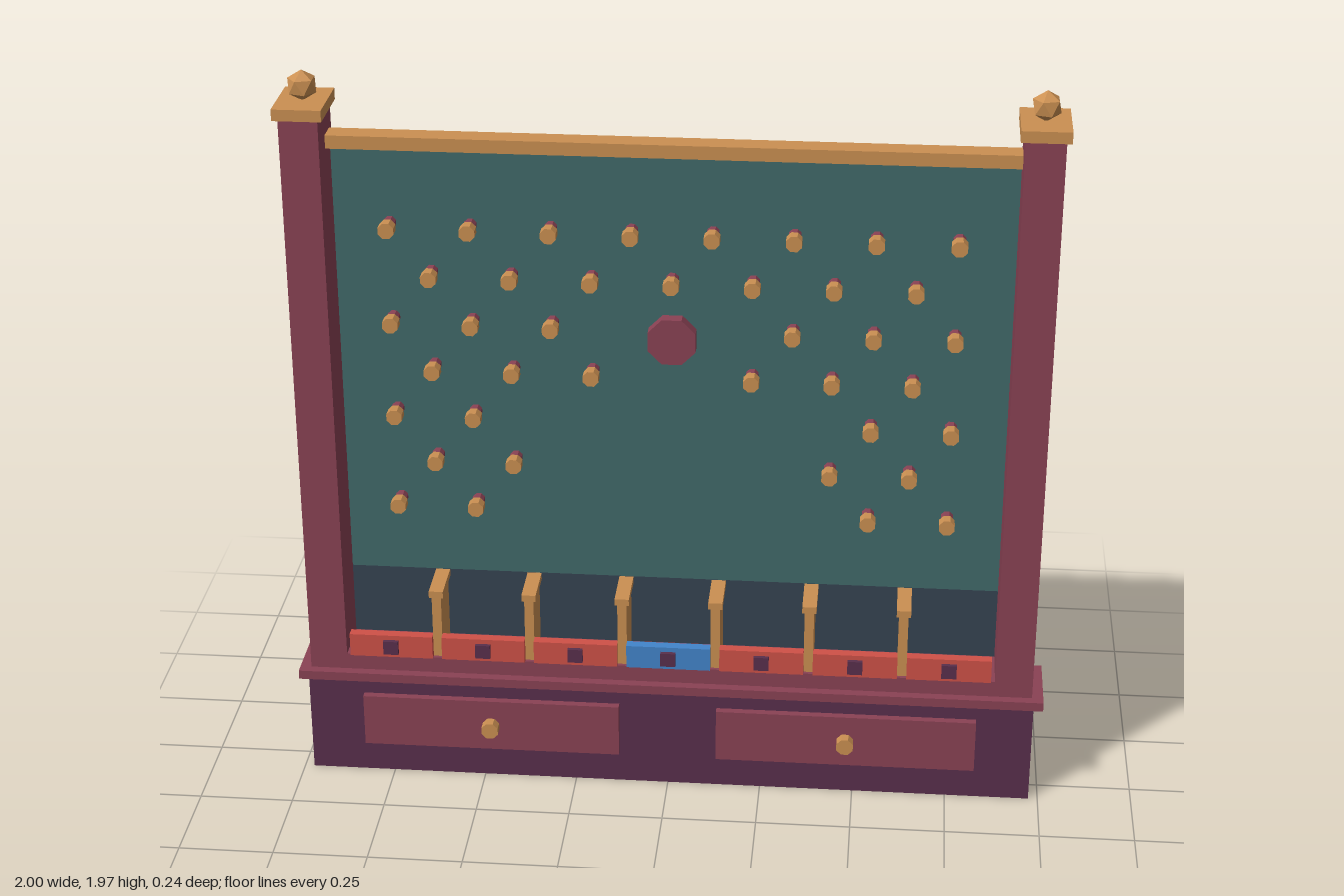
import * as THREE from 'three';

const material = (name, color) => {
  const m = new THREE.MeshStandardMaterial({ color });
  m.name = name;
  return m;
};

export function createModel() {
  const plum = material('dark plum', 0x592f4c);
  const maroon = material('maroon', 0x8a4254);
  const gold = material('gold wood', 0xcb9052);
  const teal = material('teal', 0x416a6a);
  const navy = material('navy', 0x364352);
  const red = material('red', 0xcf5147);
  const blue = material('blue', 0x4285cb);

  const model = new THREE.Group();
  model.name = 'pegBoardGame';

  const add = (name, geometry, mat) => {
    const mesh = new THREE.Mesh(geometry, mat);
    mesh.name = name;
    model.add(mesh);
    return mesh;
  };
  // box given by its extents on each axis
  const box = (name, mat, x0, x1, y0, y1, z0, z1) => {
    const g = new THREE.BoxGeometry(x1 - x0, y1 - y0, z1 - z0);
    return add(name, g.translate((x0 + x1) / 2, (y0 + y1) / 2, (z0 + z1) / 2), mat);
  };
  // eight-sided disc or rod lying along z, flat side up
  const rod = (name, mat, x, y, r, z0, z1) => {
    const g = new THREE.CylinderGeometry(r, r, z1 - z0, 8).toNonIndexed();
    g.computeVertexNormals();
    g.rotateY(Math.PI / 8).rotateX(Math.PI / 2);
    return add(name, g.translate(x, y, (z0 + z1) / 2), mat);
  };

  // base and ledge
  box('base', plum, -0.975, 0.975, 0, 0.28, -0.115, 0.07);
  box('ledge', maroon, -1, 1, 0.28, 0.305, -0.12, 0.08);
  box('shelf', maroon, -0.87, 0.87, 0.305, 0.35, -0.08, 0.055);

  // back board with its darker lower band, and top rail
  box('board', teal, -0.87, 0.87, 0.55, 1.785, -0.1, -0.08);
  box('lowerBand', navy, -0.87, 0.87, 0.325, 0.55, -0.1, -0.08);
  box('topRail', gold, -0.87, 0.87, 1.765, 1.8, -0.08, -0.02);

  for (const side of [-1, 1]) {
    // posts, caps and faceted finials
    const cx = side * 0.92;
    box('post', maroon, cx - 0.05, cx + 0.05, 0.305, 1.87, -0.105, 0.055);
    box('postCap', gold, cx - 0.0625, cx + 0.0625, 1.865, 1.895, -0.11, 0.068);
    const ball = new THREE.IcosahedronGeometry(0.04, 0);
    ball.rotateZ(Math.atan(2 / (1 + Math.sqrt(5))));
    add('finial', ball.translate(cx, 1.931, -0.02), gold);

    // drawers and knobs
    const dx = side * 0.478;
    box('drawer', maroon, dx - 0.347, dx + 0.347, 0.092, 0.24, 0.07, 0.09);
    rod('drawerKnob', gold, dx, 0.165, 0.024, 0.09, 0.12);
  }

  // scoring bins: front plates with square markers
  const pitch = 0.249;
  for (let i = -3; i <= 3; i++) {
    const x = i * pitch;
    box('binPlate', i === 0 ? blue : red, x - 0.112, x + 0.112, 0.35, 0.415, 0.035, 0.062);
    box('binMarker', plum, x - 0.02, x + 0.02, 0.363, 0.402, 0.062, 0.073);
  }

  // bin dividers with wider top edges
  for (let i = -2.5; i <= 2.5; i++) {
    const x = i * pitch;
    box('divider', gold, x - 0.0125, x + 0.0125, 0.35, 0.53, -0.08, 0.045);
    box('dividerCap', gold, x - 0.019, x + 0.019, 0.53, 0.549, -0.08, 0.05);
  }

  // staggered pegs; each row lists its columns in half steps from the centre
  const pegRows = [
    [1, 3, 5, 7], [0, 2, 4, 6], [3, 5, 7], [2, 4, 6], [5, 7], [4, 6], [5, 7],
  ];
  pegRows.forEach((columns, row) => {
    const y = 1.55 - row * 0.1305;
    for (const c of columns) {
      for (const side of c === 0 ? [1] : [-1, 1]) {
        const x = side * c * 0.1036;
        rod('pegStem', maroon, x, y, 0.017, -0.08, -0.045);
        rod('pegTip', gold, x, y, 0.022, -0.045, -0.012);
      }
    }
  });

  // round bumper in the middle of the board
  rod('bumper', maroon, 0, 1.255, 0.067, -0.08, -0.045);

  return model;
}
